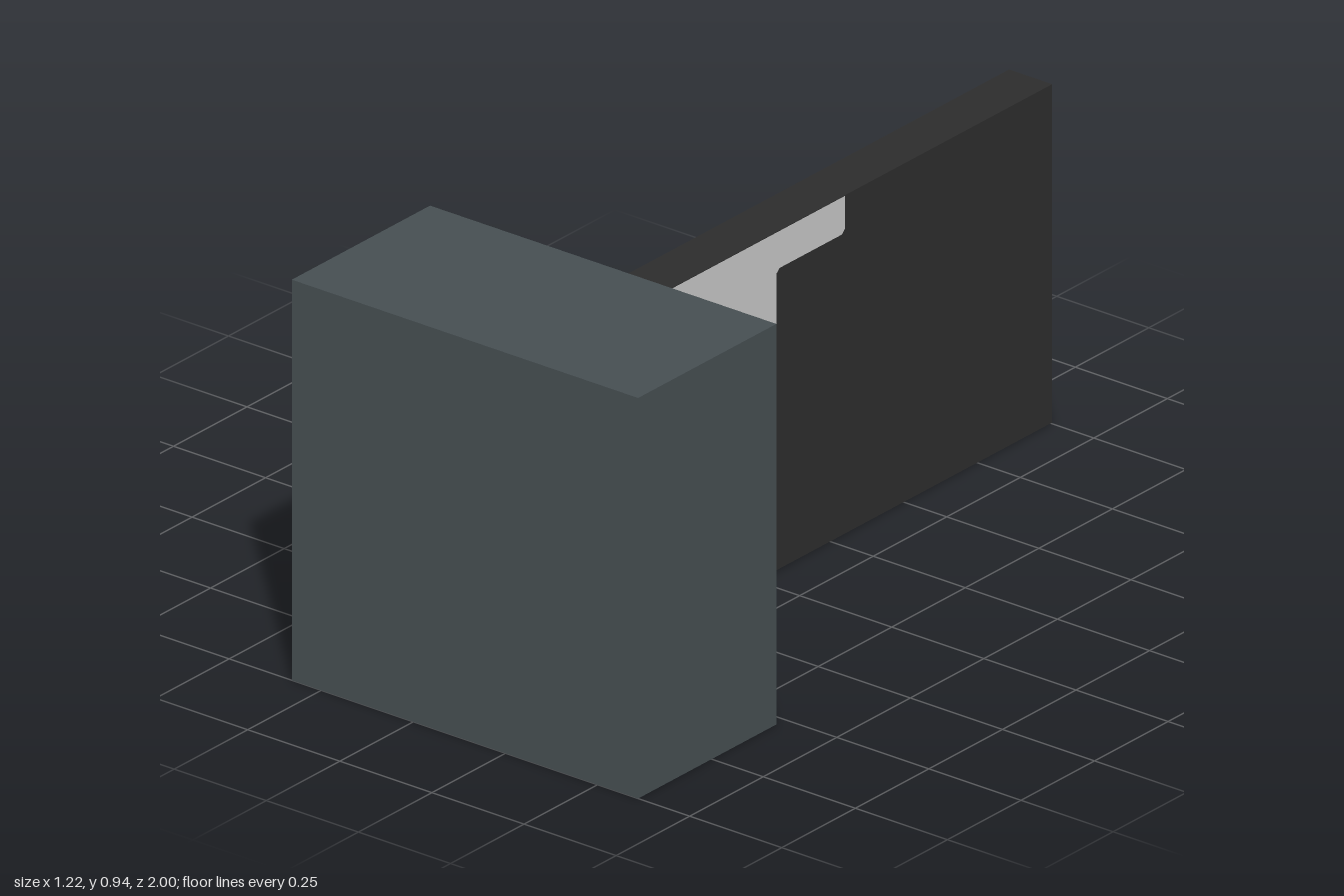
import * as THREE from 'three';

const material = (name, color) => {
  const m = new THREE.MeshStandardMaterial({ color });
  m.name = name;
  return m;
};

export function createModel() {
  const dark = material('charcoal', 0x2d2d2d);
  const slate = material('slate', 0x464f52);
  const pale = material('pale key grey', 0x9aa1a5);
  const light = material('light grey', 0xc9c9c9);

  const model = new THREE.Group();
  model.name = 'desktopComputer';

  // Box given by its limits on each axis
  const box = (parent, name, mat, [x0, x1], [y0, y1], [z0, z1]) => {
    const mesh = new THREE.Mesh(new THREE.BoxGeometry(x1 - x0, y1 - y0, z1 - z0), mat);
    mesh.position.set((x0 + x1) / 2, (y0 + y1) / 2, (z0 + z1) / 2);
    mesh.name = name;
    parent.add(mesh);
  };

  box(model, 'computerCase', slate, [-0.33, 0.61], [0, 0.94], [0.53, 1]);
  box(model, 'mouse', dark, [-0.53, -0.295], [0.01, 0.065], [0.29, 0.432]);

  // Monitor with its display facing +x
  const monitor = new THREE.Group();
  monitor.name = 'monitor';
  model.add(monitor);
  box(monitor, 'monitorBody', dark, [0.02, 0.137], [0.003, 0.797], [-1, 0.41]);

  // Flat display plate on the +x face; shape x runs towards -z
  const plate = (name, mat, shape, x) => {
    const mesh = new THREE.Mesh(new THREE.ShapeGeometry(shape), mat);
    mesh.rotation.y = Math.PI / 2;
    mesh.position.x = x;
    mesh.name = name;
    monitor.add(mesh);
  };

  // Stepped light area with small cut corners
  const c = 0.01;
  plate('screenLightArea', light, new THREE.Shape([
    [-0.41, 0.318], [0.06 - c, 0.318], [0.06, 0.318 + c], [0.06, 0.71 - c], [0.06 + c, 0.71],
    [0.293 - c, 0.71], [0.293, 0.71 + c], [0.293, 0.797], [-0.41, 0.797],
  ].map(([x, y]) => new THREE.Vector2(x, y))), 0.139);

  // Small dark mark with cut corners
  const [l, r, b, t] = [-0.298, -0.182, 0.403, 0.477];
  plate('screenMark', dark, new THREE.Shape([
    [l + c, b], [r - c, b], [r, b + c], [r, t - c], [r - c, t], [l + c, t], [l, t - c], [l, b + c],
  ].map(([x, y]) => new THREE.Vector2(x, y))), 0.142);

  // Keyboard: rows of keys along z, widths in key units, summing to 12
  const keyboard = new THREE.Group();
  keyboard.name = 'keyboard';
  model.add(keyboard);
  box(keyboard, 'keyboardBase', dark, [-0.612, -0.215], [0.01, 0.065], [-0.815, 0.125]);

  const letters = (n) => Array(n).fill([1, pale]);
  const modifiers = (n) => Array(n).fill([1, slate]);
  const rows = [
    [-0.566, [...modifiers(3), [5, pale], ...modifiers(4)]],
    [-0.497, [[2.3, slate], ...letters(7), [2.7, slate]]],
    [-0.426, [[1.83, slate], ...letters(8), [2.17, slate]]],
    [-0.32, letters(12)],
  ];
  const pitch = 0.0705, gap = 0.011;
  for (const [x, keys] of rows) {
    let z = -0.77;
    for (const [units, mat] of keys) {
      box(keyboard, 'key', mat, [x, x + 0.058], [0.063, 0.085], [z, z + units * pitch - gap]);
      z += units * pitch;
    }
  }

  return model;
}
